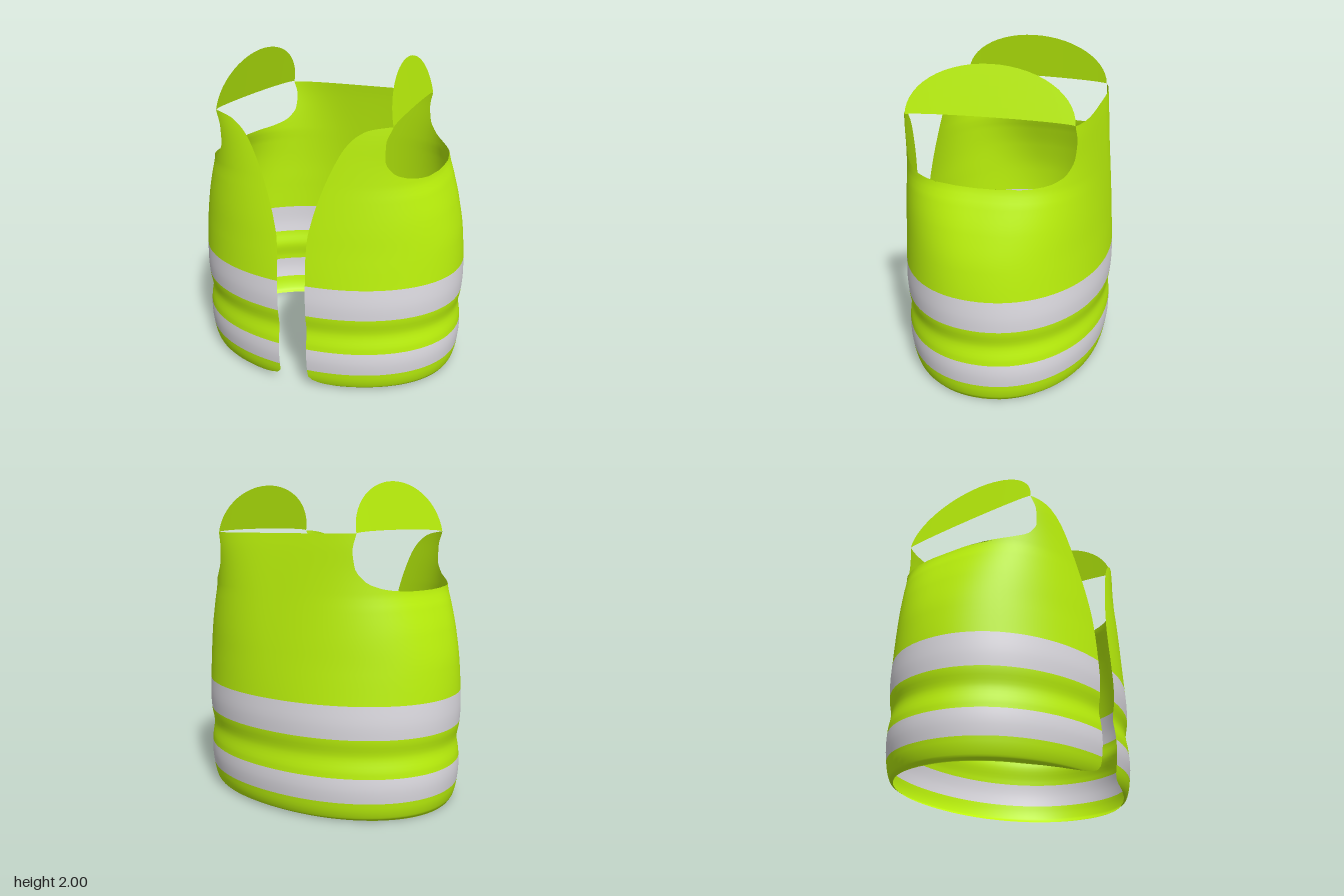
import * as THREE from 'three';

const LIME = 0xbef60c, GREY = 0xe0dee4;
const TOP = 1.692, ARM = 1.355;

// Smooth monotone curve through [y, value] pairs
function curve(p) {
  const sec = i => (p[i + 1][1] - p[i][1]) / (p[i + 1][0] - p[i][0]);
  const slope = i => {
    if (i === 0) return sec(0);
    if (i === p.length - 1) return sec(i - 1);
    const a = sec(i - 1), b = sec(i);
    return a * b <= 0 ? 0 : 2 * a * b / (a + b);
  };
  return y => {
    if (y <= p[0][0]) return p[0][1];
    if (y >= p[p.length - 1][0]) return p[p.length - 1][1];
    let i = 0;
    while (y > p[i + 1][0]) i++;
    const h = p[i + 1][0] - p[i][0], t = (y - p[i][0]) / h, t2 = t * t, t3 = t2 * t;
    return (2 * t3 - 3 * t2 + 1) * p[i][1] + (t3 - 2 * t2 + t) * h * slope(i)
      + (3 * t2 - 2 * t3) * p[i + 1][1] + (t3 - t2) * h * slope(i + 1);
  };
}

// Body cross-section: half width, half depth and squareness by height
const halfW = curve([[0, 0.84], [0.03, 0.858], [0.1, 0.875], [0.22, 0.886], [0.3, 0.882], [0.4, 0.868],
  [0.5, 0.884], [0.6, 0.889], [0.7, 0.886], [0.9, 0.868], [1.1, 0.825], [1.25, 0.777], [1.355, 0.738], [1.5, 0.712], [1.7, 0.7]]);
const halfD = curve([[0, 0.6], [0.02, 0.63], [0.1, 0.653], [0.22, 0.665], [0.3, 0.662], [0.4, 0.65],
  [0.5, 0.664], [0.6, 0.669], [0.7, 0.665], [1, 0.642], [1.35, 0.604], [1.6, 0.573], [1.7, 0.558]]);
const square = curve([[0, 2.1], [0.7, 2.1], [0.9, 2.16], [1.1, 2.35], [1.25, 2.57], [1.36, 2.8], [1.5, 3.2], [1.7, 4]]);

// Front opening half width and armhole half depths by height
const opening = curve([[0, 0.6], [0.008, 0.4], [0.015, 0.27], [0.03, 0.16], [0.045, 0.12], [0.07, 0.098], [0.1, 0.095], [0.85, 0.092],
  [1, 0.1], [1.1, 0.12], [1.2, 0.147], [1.35, 0.2], [1.5, 0.268], [1.57, 0.31], [1.63, 0.365], [1.67, 0.43], [1.685, 0.49], [TOP, 0.54]]);
const armFront = curve([[ARM, 0], [1.36, 0.25], [1.38, 0.4], [1.42, 0.475], [1.5, 0.505], [1.6, 0.507], [TOP, 0.488]]);
const armBack = curve([[ARM, 0], [1.36, 0.25], [1.38, 0.41], [1.42, 0.48], [1.5, 0.515], [1.6, 0.522], [TOP, 0.512]]);

// Point on the body at angle t (0 = front, PI/2 = left side)
function point(t, y) {
  const n = square(y), s = Math.sin(t), c = Math.cos(t);
  const r = (Math.abs(s / halfW(y)) ** n + Math.abs(c / halfD(y)) ** n) ** (-1 / n);
  return new THREE.Vector3(r * s, y, r * c);
}
const other = (v, a, b, n) => b * Math.max(0, 1 - (v / a) ** n) ** (1 / n);
const edgeAngle = y => Math.atan2(opening(y), other(opening(y), halfW(y), halfD(y), square(y)));
function armAngle(y, arm) {
  if (y <= ARM) return Math.PI / 2;
  const h = arm(y);
  return Math.atan2(other(h, halfD(y), halfW(y), square(y)), h);
}
const armFrontAngle = y => armAngle(y, armFront);
const armBackAngle = y => Math.PI - armAngle(y, armBack);

// Left front, back and right front: angle limits at each height
const PI2 = Math.PI * 2;
const sections = [
  { cols: 24, range: y => [edgeAngle(y), armFrontAngle(y)] },
  { cols: 48, range: y => [armBackAngle(y), PI2 - armBackAngle(y)] },
  { cols: 24, range: y => [PI2 - armFrontAngle(y), PI2 - edgeAngle(y)] },
];

function material(color) {
  return new THREE.MeshStandardMaterial({ color, side: THREE.DoubleSide });
}

// One horizontal zone of the cloth, through all the sections
function zone(name, rows, color) {
  const pos = [], nor = [], idx = [], e = 0.002;
  for (const { cols, range } of sections) {
    const base = pos.length / 3;
    rows.forEach((y, j) => {
      const [t0, t1] = range(y);
      for (let i = 0; i <= cols; i++) {
        const t = t0 + (t1 - t0) * i / cols;
        const across = point(t + e, y).sub(point(t - e, y));
        const up = point(t, y + e).sub(point(t, y - e));
        pos.push(...point(t, y).toArray());
        nor.push(...across.cross(up).normalize().toArray());
        if (j && i) {
          const d = base + j * (cols + 1) + i, c = d - 1, b = d - cols - 1, a = b - 1;
          idx.push(a, b, d, a, d, c);
        }
      }
    });
  }
  const g = new THREE.BufferGeometry();
  g.setAttribute('position', new THREE.Float32BufferAttribute(pos, 3));
  g.setAttribute('normal', new THREE.Float32BufferAttribute(nor, 3));
  g.setIndex(idx);
  const mesh = new THREE.Mesh(g, material(color));
  mesh.name = name;
  return mesh;
}

const steps = (a, b, n) => Array.from({ length: n + 1 }, (_, i) => a + (b - a) * i / n);

// Domed shoulder flap spanning the armhole, leaning inward
function shoulder(side) {
  const front = point(armFrontAngle(TOP), TOP), back = point(armBackAngle(TOP), TOP);
  const g = new THREE.PlaneGeometry(1, 1, 28, 5), p = g.attributes.position;
  for (let k = 0; k < p.count; k++) {
    const s = -Math.cos(Math.PI * (p.getX(k) + 0.5)), v = p.getY(k) + 0.5;
    const arc = Math.sqrt(Math.max(0, 1 - s * s));
    const q = front.clone().lerp(back, (s + 1) / 2);
    const low = 0.018 * arc, rise = low + (2 - TOP - 0.018) * arc * v;
    p.setXYZ(k, side * (q.x - 0.058 * arc * v), TOP + rise, q.z);
  }
  if (side < 0) {
    const ix = g.index.array;
    for (let i = 0; i < ix.length; i += 3) [ix[i], ix[i + 1]] = [ix[i + 1], ix[i]];
  }
  g.computeVertexNormals();
  const mesh = new THREE.Mesh(g, material(LIME));
  mesh.name = side > 0 ? 'leftShoulder' : 'rightShoulder';
  return mesh;
}

export function createModel() {
  const vest = new THREE.Group();
  vest.name = 'safetyVest';
  vest.add(
    zone('hem', [0, 0.004, 0.008, 0.015, 0.022, 0.03, 0.045, 0.07, 0.095, 0.122], LIME),
    zone('lowerReflectiveBand', steps(0.122, 0.275, 5), GREY),
    zone('waist', steps(0.275, 0.51, 10), LIME),
    zone('upperReflectiveBand', steps(0.51, 0.712, 6), GREY),
    zone('chestAndYoke', [...steps(0.712, ARM, 18), 1.357, 1.36, 1.365, 1.372, 1.38, 1.39, 1.405,
      ...steps(1.42, 1.66, 10), 1.67, 1.678, 1.685, TOP], LIME),
    shoulder(1),
    shoulder(-1),
  );
  return vest;
}
